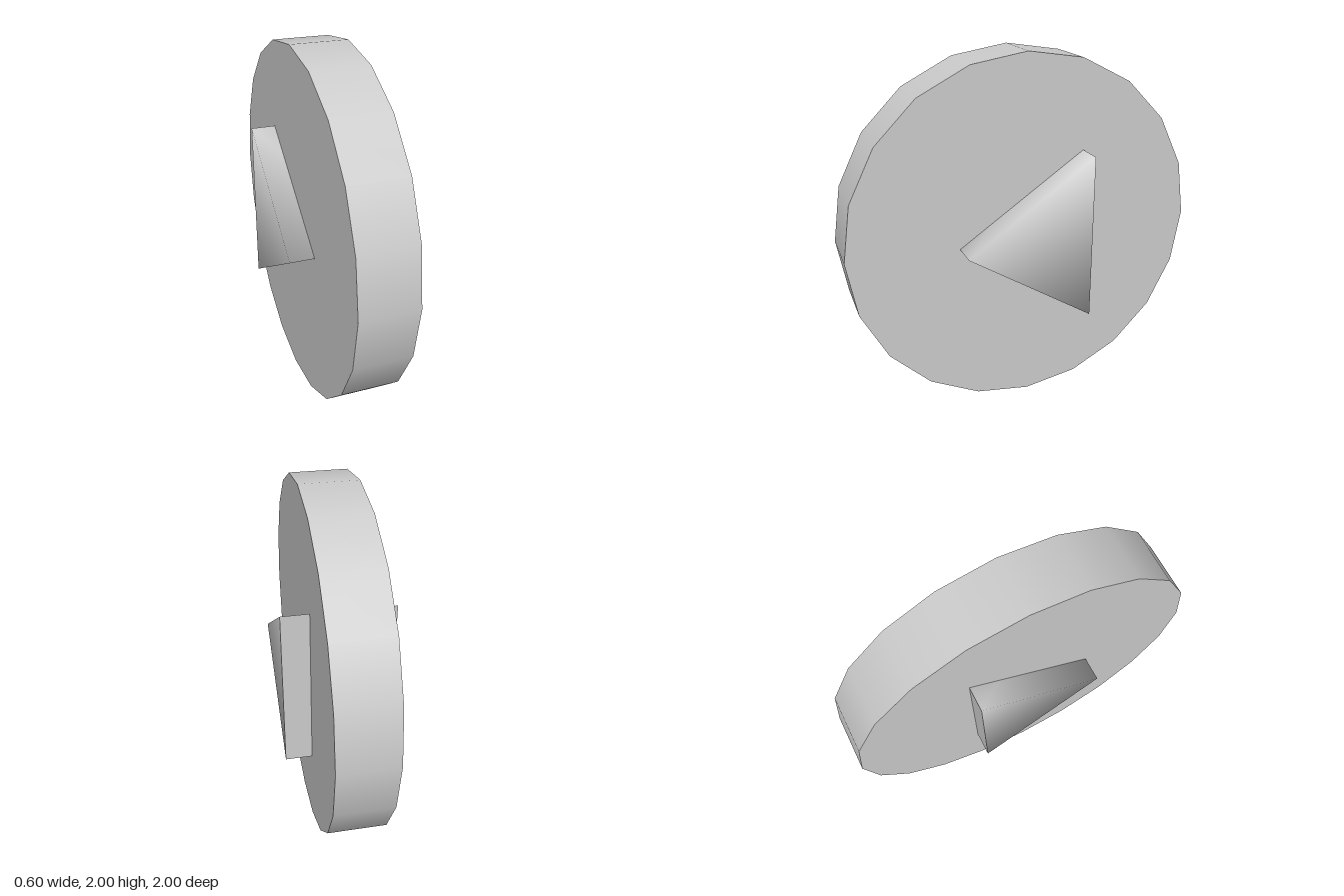
import * as THREE from 'three';

const material = new THREE.MeshStandardMaterial({ color: 0xcccccc });

// Mesh from a few corners and an index list, normals shared inside one mesh
function surface(name, corners, index) {
  const geometry = new THREE.BufferGeometry();
  geometry.setAttribute('position', new THREE.Float32BufferAttribute(corners.flat(), 3));
  geometry.setIndex(index);
  geometry.computeVertexNormals();
  const mesh = new THREE.Mesh(geometry, material);
  mesh.name = name;
  return mesh;
}

export function createModel() {
  const model = new THREE.Group();
  model.name = 'triangleButton';

  // Upright 20-sided disc, axis along x
  const discGeometry = new THREE.CylinderGeometry(1, 1, 0.315, 20);
  discGeometry.rotateZ(-Math.PI / 2);
  const disc = new THREE.Mesh(discGeometry, material);
  disc.name = 'disc';
  disc.position.set(-0.007, 1, 0);
  model.add(disc);

  // Triangular prism through the disc: tip, lower and upper corner at each end
  const outline = [[0.98, 0.39], [0.515, -0.325], [1.455, -0.325]];
  const corners = [0.3, -0.3].flatMap((x) => outline.map(([y, z]) => [x, y, z]));
  const prism = new THREE.Group();
  prism.name = 'triangle';
  prism.add(
    // End faces and slanted walls blend smoothly
    surface('triangleFaces', corners, [0, 1, 2, 3, 5, 4, 3, 4, 1, 3, 1, 0, 5, 3, 0, 5, 0, 2]),
    // The back wall is flat with crisp edges
    surface('triangleBack', corners, [4, 5, 2, 4, 2, 1])
  );
  model.add(prism);
  return model;
}
